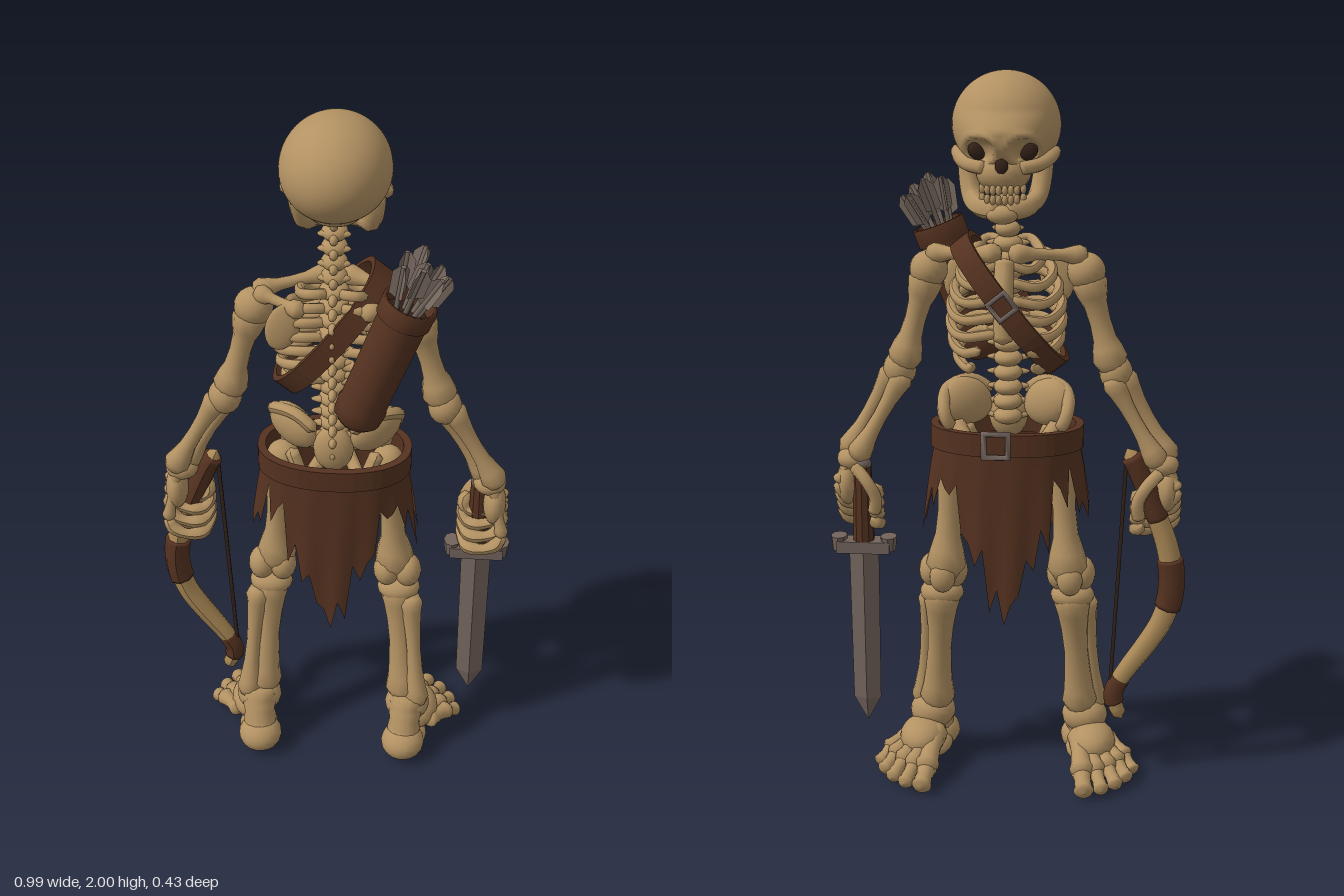
import * as THREE from 'three';

const mat = (name, color, side = THREE.FrontSide) => {
  const m = new THREE.MeshStandardMaterial({ color, side });
  m.name = name;
  return m;
};
const BONE = mat('bone', 0xb39263);
const LEATHER = mat('leather', 0x553220, THREE.DoubleSide);
const DARK = mat('dark hollow', 0x35231a);
const STEEL = mat('steel', 0x73645d);
const FEATHER = mat('feather', 0x786a60, THREE.DoubleSide);
const HORN = mat('horn', 0xac8a57);

const V = (p) => new THREE.Vector3(...p);
const UP = new THREE.Vector3(0, 1, 0);

export function createModel() {
  const root = new THREE.Group();
  root.name = 'skeletonArcher';

  const add = (name, geo, material = BONE) => {
    const m = new THREE.Mesh(geo, material);
    m.name = name;
    root.add(m);
    return m;
  };
  const ball = (name, p, r, material = BONE) => {
    const m = add(name, new THREE.SphereGeometry(1, 18, 12), material);
    m.position.set(...p);
    m.scale.set(...r);
    return m;
  };
  // Stand a y-axis mesh between two points
  const place = (m, a, b) => {
    const d = V(b).sub(V(a));
    m.position.copy(V(a)).addScaledVector(d, 0.5);
    m.quaternion.setFromUnitVectors(UP, d.normalize());
    return m;
  };
  // Shaft with swollen, rounded ends
  const bone = (name, a, b, r, k1 = 1.7, k2 = 1.7) => {
    const L = V(a).distanceTo(V(b)), e = Math.min(r * k1, L * 0.2), f = Math.min(r * k2, L * 0.2);
    const pts = [[0, -e * 0.6], [r * k1 * 0.75, -e * 0.3], [r * k1, e * 0.3], [r * k1 * 0.85, e], [r, L * 0.3],
      [r * 0.9, L * 0.5], [r, L * 0.7], [r * k2 * 0.85, L - f], [r * k2, L - f * 0.3], [r * k2 * 0.75, L + f * 0.3], [0, L + f * 0.6]];
    const g = new THREE.LatheGeometry(pts.map(([x, y]) => new THREE.Vector2(x, y - L / 2)), 12);
    return place(add(name, g), a, b);
  };
  // Curved tube with closed ends, narrowed by a rule; t0..t1 picks a stretch of the path
  const tube = (name, pts, r, material = BONE, rule = () => 1, t0 = 0, t1 = 1, seg = 20) => {
    const full = new THREE.CatmullRomCurve3(pts.map(V));
    const curve = new THREE.CatmullRomCurve3(Array.from({ length: 13 }, (_, i) => full.getPoint(t0 + (t1 - t0) * i / 12)));
    const g = new THREE.TubeGeometry(curve, seg, r, 8);
    const pos = g.attributes.position, v = new THREE.Vector3();
    for (let i = 0; i < pos.count; i++) {
      const ringNo = Math.floor(i / 9), c = curve.getPointAt(ringNo / seg);
      const k = ringNo === 0 || ringNo === seg ? 0 : rule(ringNo / seg);
      v.fromBufferAttribute(pos, i).sub(c).multiplyScalar(k).add(c);
      pos.setXYZ(i, v.x, v.y, v.z);
    }
    g.computeVertexNormals();
    return add(name, g, material);
  };
  // Flat band following a rounded loop, extruded by its width
  const band = (name, rx, ry, width, power, thick) => {
    const loop = (o) => Array.from({ length: 48 }, (_, i) => {
      const a = i / 48 * Math.PI * 2, f = (w) => Math.sign(w) * Math.abs(w) ** power;
      return new THREE.Vector2((rx + o) * f(Math.cos(a)), (ry + o) * f(Math.sin(a)));
    });
    const s = new THREE.Shape(loop(thick));
    s.holes.push(new THREE.Path(loop(-thick)));
    const g = new THREE.ExtrudeGeometry(s, { depth: width, bevelEnabled: false });
    return add(name, g.translate(0, 0, -width / 2), LEATHER);
  };
  const buckle = (name, p, size, rotZ) => {
    const m = add(name, new THREE.TorusGeometry(size, size * 0.24, 6, 4).rotateZ(Math.PI / 4), STEEL);
    m.position.set(...p);
    m.rotation.z = rotZ;
  };

  // Skull: cranium narrowing toward the face, with sunken eye sockets under a brow
  const sk = new THREE.SphereGeometry(1, 72, 54), sp = sk.attributes.position;
  for (let i = 0; i < sp.count; i++) {
    const y = sp.getY(i), z = sp.getZ(i);
    const face = Math.max(0, -z) * Math.max(0, 0.35 - y);
    const px = sp.getX(i) * (1 - 0.25 * face) * 0.143, py = 1.86 + y * (y < 0 ? 0.132 : 0.14);
    let pz = -0.025 + z * 0.163 - 0.03 * Math.min(1, face * 3);
    if (z < 0) {
      const d = Math.hypot((Math.abs(px) - 0.056) / 0.037, (py - 1.812) / 0.033);
      pz += d < 1 ? 0.035 * (1 - d ** 4) : -0.008 * Math.max(0, 1 - Math.abs(d - 1.25) * 3);
    }
    sp.setXYZ(i, px, py, pz);
  }
  sk.computeVertexNormals();
  add('cranium', sk);
  ball('skullBase', [0, 1.755, -0.01], [0.075, 0.035, 0.075]);
  ball('upperJaw', [0, 1.752, -0.13], [0.072, 0.056, 0.068]);
  ball('noseHole', [0, 1.775, -0.192], [0.017, 0.023, 0.009], DARK);
  for (const s of [-1, 1]) {
    ball('eyeSocket', [s * 0.056, 1.812, -0.138], [0.036, 0.031, 0.02], DARK).rotation.y = s * 0.4;
    tube('cheekbone', [[s * 0.04, 1.765, -0.17], [s * 0.09, 1.772, -0.145], [s * 0.118, 1.785, -0.09], [s * 0.128, 1.795, -0.03]], 0.018);
    tube('jawBranch', [[s * 0.1, 1.79, -0.045], [s * 0.096, 1.73, -0.058], [s * 0.085, 1.682, -0.085],
      [s * 0.055, 1.662, -0.145], [0, 1.658, -0.172]], 0.026);
    for (let i = 0; i < 4; i++) {
      const x = s * (0.008 + i * 0.015), z = -0.186 + i * i * 0.004;
      ball('upperTooth', [x, 1.712, z], [0.008, 0.014, 0.008]);
      ball('lowerTooth', [x, 1.688, z], [0.008, 0.014, 0.008]);
    }
  }
  ball('chin', [0, 1.648, -0.172], [0.042, 0.025, 0.028]);

  // Spine
  for (let i = 0; i < 18; i++) {
    const y = 1.06 + i * 0.04, z = 0.022 + 0.02 * Math.sin((y - 1.05) * 6), neck = y > 1.54, r = neck ? 0.035 : 0.04;
    ball('vertebra', [0, y, z], [r, 0.024, r]);
    ball('vertebraSpike', [0, y - 0.008, z + (neck ? 0.028 : 0.038)], [0.012, 0.016, neck ? 0.018 : 0.025]);
    ball('vertebraWings', [0, y, z + 0.012], [r * (neck ? 1.25 : 1.5), 0.012, 0.015]);
  }

  // Rib cage
  const widths = [0.09, 0.12, 0.137, 0.146, 0.148, 0.143, 0.13];
  tube('breastbone', [[0, 1.52, -0.085], [0, 1.42, -0.135], [0, 1.3, -0.152]], 0.026);
  for (const s of [-1, 1]) {
    widths.forEach((w, i) => {
      const y = 1.54 - i * 0.043, f = -0.088 - 0.078 * Math.sin((i + 0.3) / 6.3 * 2);
      const end = i < 5 ? [s * 0.012, y - 0.035, f + 0.012] : [s * (0.03 + (i - 4) * 0.025), y - 0.035, f];
      tube('rib', [[s * 0.015, y, 0.045], [s * w * 0.6, y + 0.008, 0.066], [s * w * 0.97, y - 0.015, 0.02],
        [s * w, y - 0.035, -0.05], [s * w * 0.72, y - 0.052, f * 0.8], end], 0.0145, BONE, () => 1, 0, 1, 24);
    });
    bone('collarbone', [s * 0.025, 1.53, -0.08], [s * 0.2, 1.515, -0.005], 0.017);
    ball('shoulderBlade', [s * 0.13, 1.445, 0.062], [0.045, 0.072, 0.013]).rotation.z = s * 0.3;
    bone('shoulderBladeRidge', [s * 0.085, 1.5, 0.07], [s * 0.195, 1.515, 0.015], 0.015);

    // Arms
    ball('shoulderJoint', [s * 0.212, 1.47, 0.005], [0.052, 0.052, 0.05]);
    bone('upperArm', [s * 0.218, 1.45, 0.005], [s * 0.284, 1.215, 0.008], 0.032, 1.5, 1.5);
    ball('elbow', [s * 0.296, 1.19, 0.012], [0.046, 0.052, 0.046]);
    bone('forearmOuter', [s * 0.318, 1.18, 0.015], [s * 0.442, 0.955, 0.018], 0.023, 1.5, 1.6);
    bone('forearmInner', [s * 0.288, 1.17, -0.008], [s * 0.412, 0.95, -0.018], 0.022, 1.5, 1.6);
    ball('wrist', [s * 0.428, 0.935, -0.002], [0.046, 0.034, 0.044]);

    // Hand closed around a grip, fingers slanting down
    ball('palm', [s * 0.445, 0.865, 0], [0.032, 0.065, 0.05]);
    for (let i = 0; i < 4; i++) {
      const y = 0.875 - i * 0.03, z = -0.025 + i * 0.02;
      bone('handBone', [s * 0.44, 0.925, -0.02 + i * 0.014], [s * 0.468, y, z], 0.014, 1.2, 1.4);
      tube('finger', [[s * 0.472, y, z], [s * 0.455, y - 0.035, z + 0.006], [s * 0.415, y - 0.05, z + 0.012],
        [s * 0.37, y - 0.05, z * 0.8], [s * 0.358, y - 0.03, -0.025], [s * 0.378, y - 0.015, -0.048]],
      0.018, BONE, (t) => 1 - 0.13 * Math.cos(t * 18));
    }
    tube('thumb', [[s * 0.425, 0.925, -0.035], [s * 0.385, 0.885, -0.058], [s * 0.362, 0.835, -0.055], [s * 0.368, 0.785, -0.045]], 0.018);

    // Pelvis
    ball('hipWing', [s * 0.112, 1.105, 0.01], [0.08, 0.064, 0.038]).rotation.set(0.15, s * 0.6, s * 0.3);
    tube('hipCrest', [[s * 0.045, 1.12, 0.06], [s * 0.1, 1.158, 0.04], [s * 0.165, 1.14, -0.015], [s * 0.165, 1.085, -0.07], [s * 0.145, 1.04, -0.06]], 0.018);
    tube('pubicArch', [[s * 0.14, 1.05, -0.02], [s * 0.09, 1.0, -0.075], [0, 0.99, -0.085]], 0.024);
    tube('seatBone', [[s * 0.12, 1.04, 0.03], [s * 0.08, 0.95, 0.04], [s * 0.05, 0.95, -0.03], [s * 0.02, 0.99, -0.08]], 0.02);

    // Legs
    ball('hipJoint', [s * 0.145, 0.99, -0.005], [0.045, 0.045, 0.045]);
    bone('thigh', [s * 0.15, 0.97, -0.005], [s * 0.172, 0.62, -0.015], 0.036, 1.35, 1.6);
    for (const k of [-1, 1]) ball('kneeKnob', [s * 0.18 + k * 0.03, 0.61, 0], [0.039, 0.05, 0.045]);
    ball('kneecap', [s * 0.178, 0.605, -0.05], [0.036, 0.044, 0.028]);
    ball('shinHead', [s * 0.185, 0.545, -0.002], [0.062, 0.04, 0.05]);
    bone('shin', [s * 0.184, 0.545, -0.005], [s * 0.208, 0.19, 0.05], 0.038, 1.4, 1.35);
    bone('calfBone', [s * 0.222, 0.52, 0.025], [s * 0.25, 0.18, 0.078], 0.023, 1.5, 1.6);

    // Feet
    ball('ankle', [s * 0.222, 0.15, 0.06], [0.066, 0.055, 0.06]);
    bone('heelCord', [s * 0.22, 0.18, 0.08], [s * 0.214, 0.06, 0.125], 0.05, 1, 1.1);
    ball('heel', [s * 0.214, 0.054, 0.128], [0.064, 0.053, 0.065]);
    ball('heelBase', [s * 0.225, 0.038, 0.075], [0.058, 0.036, 0.08]);
    ball('instep', [s * 0.245, 0.09, 0.01], [0.068, 0.055, 0.085]);
    const toes = [[0.23, -0.195], [0.28, -0.178], [0.32, -0.145], [0.35, -0.1], [0.368, -0.052]];
    toes.forEach(([x, z], i) => {
      const r = i ? 0.022 : 0.028, bx = 0.206 + i * 0.021, bz = 0.01 + i * 0.012;
      const at = (t, y) => [s * (bx + (x - bx) * t), y, bz + (z - bz) * t];
      bone('footBone', at(0, 0.105 - i * 0.007), at(0.65, 0.055), r, 1.2, 1.25);
      bone('toe', at(0.62, 0.05), at(0.97, 0.027), r * 0.9, 1.2, 1.15);
    });
  }
  ball('tailBone', [0, 1.06, 0.05], [0.055, 0.07, 0.032]);

  // Belt and torn cloth
  const belt = band('belt', 0.2, 0.128, 0.062, 0.9, 0.011);
  belt.rotation.x = -Math.PI / 2;
  belt.position.set(0, 1.015, 0.008);
  buckle('beltBuckle', [0.02, 1.02, -0.143], 0.046, 0);
  const hems = [0.5, 0.58, 0.56, 0.7, 0.66, 0.75, 0.73, 0.9, 0.87, 0.85, 0.92, 0.81, 0.85, 0.76, 0.84, 0.92];
  const cloth = (name, turn) => {
    const pts = [], idx = [], rows = 4;
    for (let c = -15; c <= 15; c++) {
      const t = c * 0.1, hem = hems[Math.abs(c)] + (c ? 0.025 * Math.sin(c * 2.3 + turn) : 0);
      for (let r = 0; r <= rows; r++) {
        const d = (1 - hem) * r / rows, a = t + turn;
        const fold = 1 + 0.05 * Math.sin(t * 14) * r / rows;
        pts.push(0.2 * Math.sin(a) * (1 + 0.9 * d * Math.sin(t) ** 2), 1 - d, 0.008 + 0.122 * Math.cos(a) * (1 + 0.3 * d) * fold);
        if (c < 15 && r < rows) {
          const i = (c + 15) * (rows + 1) + r, j = i + rows + 1;
          idx.push(i, i + 1, j, j, i + 1, j + 1);
        }
      }
    }
    const g = new THREE.BufferGeometry();
    g.setAttribute('position', new THREE.Float32BufferAttribute(pts, 3));
    g.setIndex(idx);
    g.computeVertexNormals();
    add(name, g, LEATHER);
  };
  cloth('backCloth', 0);
  cloth('frontCloth', Math.PI);

  // Shoulder strap
  const strap = band('shoulderStrap', 0.21, 0.132, 0.06, 0.85, 0.008);
  strap.applyMatrix4(new THREE.Matrix4().makeBasis(V([0.62, 0.785, 0]), V([0, 0, 1]), V([0.785, -0.62, 0])));
  strap.position.set(-0.012, 1.392, -0.043);
  buckle('strapBuckle', [0, 1.41, -0.186], 0.038, -0.67);

  // Quiver with arrows
  const quiver = new THREE.Group();
  quiver.name = 'quiver';
  quiver.position.set(0.065, 1.215, 0.13);
  quiver.rotation.z = -0.36;
  root.add(quiver);
  const prof = [[0, -0.012], [0.045, -0.008], [0.064, 0.012], [0.068, 0.05], [0.064, 0.06], [0.066, 0.33], [0.073, 0.335], [0.073, 0.385], [0.062, 0.385], [0.058, 0.3]];
  quiver.add(add('quiverCase', new THREE.LatheGeometry(prof.map((p) => new THREE.Vector2(...p)), 20), LEATHER));
  const inside = add('quiverInside', new THREE.CircleGeometry(0.062, 20).rotateX(-Math.PI / 2), DARK);
  inside.position.y = 0.35;
  quiver.add(inside);
  const vane = new THREE.Shape([[0, 0], [0.026, 0.015], [0.026, 0.08], [0.01, 0.1], [0, 0.1]].map((p) => new THREE.Vector2(...p)));
  for (let i = 0; i < 8; i++) {
    const a = i * 0.9, r = i === 7 ? 0 : 0.04, arrow = new THREE.Group();
    arrow.name = 'arrow';
    arrow.position.set(Math.cos(a) * r, 0.39 + (i % 3) * 0.014, Math.sin(a) * r);
    arrow.rotation.set(Math.sin(a) * r * 6, 0, -Math.cos(a) * r * 6);
    arrow.add(add('arrowShaft', new THREE.CylinderGeometry(0.007, 0.007, 0.2, 6), FEATHER));
    for (let k = 0; k < 3; k++) {
      const f = add('arrowFeather', new THREE.ShapeGeometry(vane), FEATHER);
      f.rotation.y = k * 2.094 + i;
      arrow.add(f);
    }
    quiver.add(arrow);
  }

  // Sword
  const piece = (name, geo, p, sc, m = STEEL) => {
    const g = geo.toNonIndexed();
    g.computeVertexNormals();
    const o = add(name, g, m);
    o.position.set(...p);
    o.scale.set(...sc);
  };
  piece('swordBlade', new THREE.CylinderGeometry(0.042, 0.039, 0.45, 4), [0.402, 0.445, -0.02], [1, 1, 0.5]);
  piece('swordTip', new THREE.CylinderGeometry(0.039, 0.002, 0.07, 4), [0.402, 0.185, -0.02], [1, 1, 0.5]);
  piece('swordGuard', new THREE.BoxGeometry(0.15, 0.034, 0.06), [0.402, 0.685, -0.02], [1, 1, 1]);
  for (const s of [-1, 1]) piece('guardEnd', new THREE.CylinderGeometry(0.026, 0.022, 0.04, 8), [0.402 + s * 0.07, 0.693, -0.02], [0.9, 1, 1.2]);
  piece('swordGrip', new THREE.CylinderGeometry(0.026, 0.03, 0.22, 10), [0.402, 0.81, -0.02], [1, 1, 1], LEATHER);
  ball('swordPommel', [0.402, 0.925, -0.02], [0.026, 0.022, 0.026], STEEL);

  // Bow
  const bow = [[-0.33, 0.985, -0.02], [-0.36, 0.93, -0.02], [-0.405, 0.82, -0.02], [-0.445, 0.71, -0.02], [-0.462, 0.6, -0.02],
    [-0.445, 0.5, -0.02], [-0.39, 0.4, -0.02], [-0.33, 0.31, -0.02], [-0.305, 0.25, -0.02], [-0.33, 0.175, -0.02]];
  tube('bowLimb', bow, 0.032, HORN, (t) => 1 - 0.4 * Math.abs(2 * t - 1) ** 2, 0, 1, 48);
  tube('bowGripWrap', bow, 0.037, LEATHER, () => 1, 0.37, 0.54);
  tube('bowUpperWrap', bow, 0.03, LEATHER, () => 1, 0.03, 0.27);
  tube('bowLowerWrap', bow, 0.028, LEATHER, () => 1, 0.79, 0.93);
  place(add('bowString', new THREE.CylinderGeometry(0.006, 0.006, 0.7, 6), DARK), [-0.33, 0.965, -0.02], [-0.295, 0.265, -0.02]);

  return root;
}
